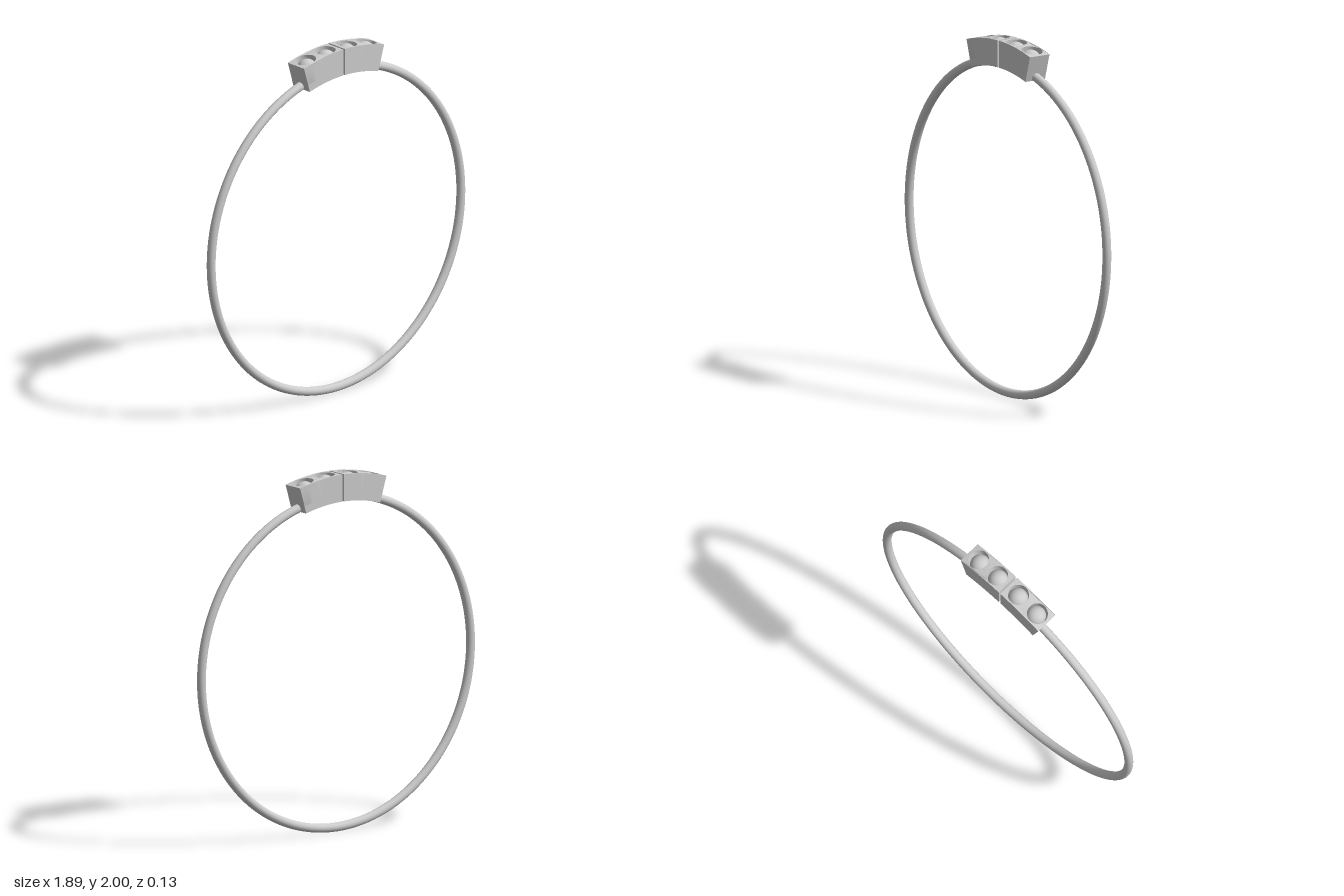
import * as THREE from 'three';
import { toCreasedNormals } from 'three/addons/utils/BufferGeometryUtils.js';

const CENTRE_Y = 0.947;
const INNER = 0.902, OUTER = 1.053, FLOOR = 0.945; // radii of the blocks and of the socket floors
const START = 0.006, END = 0.285;                  // angles where a block begins and ends
const HALF_DEPTH = 0.066;
const BALL = 0.056, SOCKET = 0.058;
const SOCKET_ANGLES = [0.25, 0.75].map((t) => START + (END - START) * t);

// Flat outline of a block seen from above, with points along its length so it can be bent
function blockOutline(withSockets) {
  const points = [], steps = 16;
  for (let i = 0; i <= steps; i++) points.push(new THREE.Vector2((START + (END - START) * i / steps) * OUTER, -HALF_DEPTH));
  for (let i = steps; i >= 0; i--) points.push(new THREE.Vector2(points[i].x, HALF_DEPTH));
  const shape = new THREE.Shape(points);
  if (withSockets) {
    for (const a of SOCKET_ANGLES) shape.holes.push(new THREE.Path().absarc(a * OUTER, 0, SOCKET, 0, Math.PI * 2, true));
  }
  return shape;
}

// Extrude the outline between two radii, then bend it around the ring's axis
function bentLayer(r0, r1, withSockets) {
  const geo = new THREE.ExtrudeGeometry(blockOutline(withSockets), { depth: r1 - r0, bevelEnabled: false, curveSegments: 20 });
  const pos = geo.attributes.position;
  for (let i = 0; i < pos.count; i++) {
    const angle = pos.getX(i) / OUTER, r = r0 + pos.getZ(i);
    pos.setXYZ(i, r * Math.sin(angle), r * Math.cos(angle), -pos.getY(i));
  }
  return toCreasedNormals(geo, 0.6);
}

export function createModel() {
  const material = new THREE.MeshStandardMaterial({ color: 0xcccccc });
  const model = new THREE.Group();
  model.name = 'ring';
  const add = (parent, geo, name) => {
    const mesh = new THREE.Mesh(geo, material);
    mesh.name = name;
    parent.add(mesh);
    return mesh;
  };

  // Thin round band, running through both blocks
  add(model, new THREE.TorusGeometry(0.9225, 0.0245, 24, 160), 'band').position.y = CENTRE_Y;

  // Two curved setting blocks, each with two balls sunk flush into sockets
  const base = bentLayer(INNER, FLOOR, false);
  const top = bentLayer(FLOOR, OUTER, true);
  const ball = new THREE.SphereGeometry(BALL, 32, 24);
  for (const side of ['left', 'right']) {
    const block = new THREE.Group();
    block.name = side + 'Setting';
    block.position.y = CENTRE_Y;
    if (side === 'right') block.rotation.y = Math.PI;
    add(block, base, side + 'SettingBase');
    add(block, top, side + 'SettingSockets');
    for (const a of SOCKET_ANGLES) {
      const r = OUTER - BALL;
      add(block, ball, side + 'Stone').position.set(r * Math.sin(a), r * Math.cos(a), 0);
    }
    model.add(block);
  }
  return model;
}
